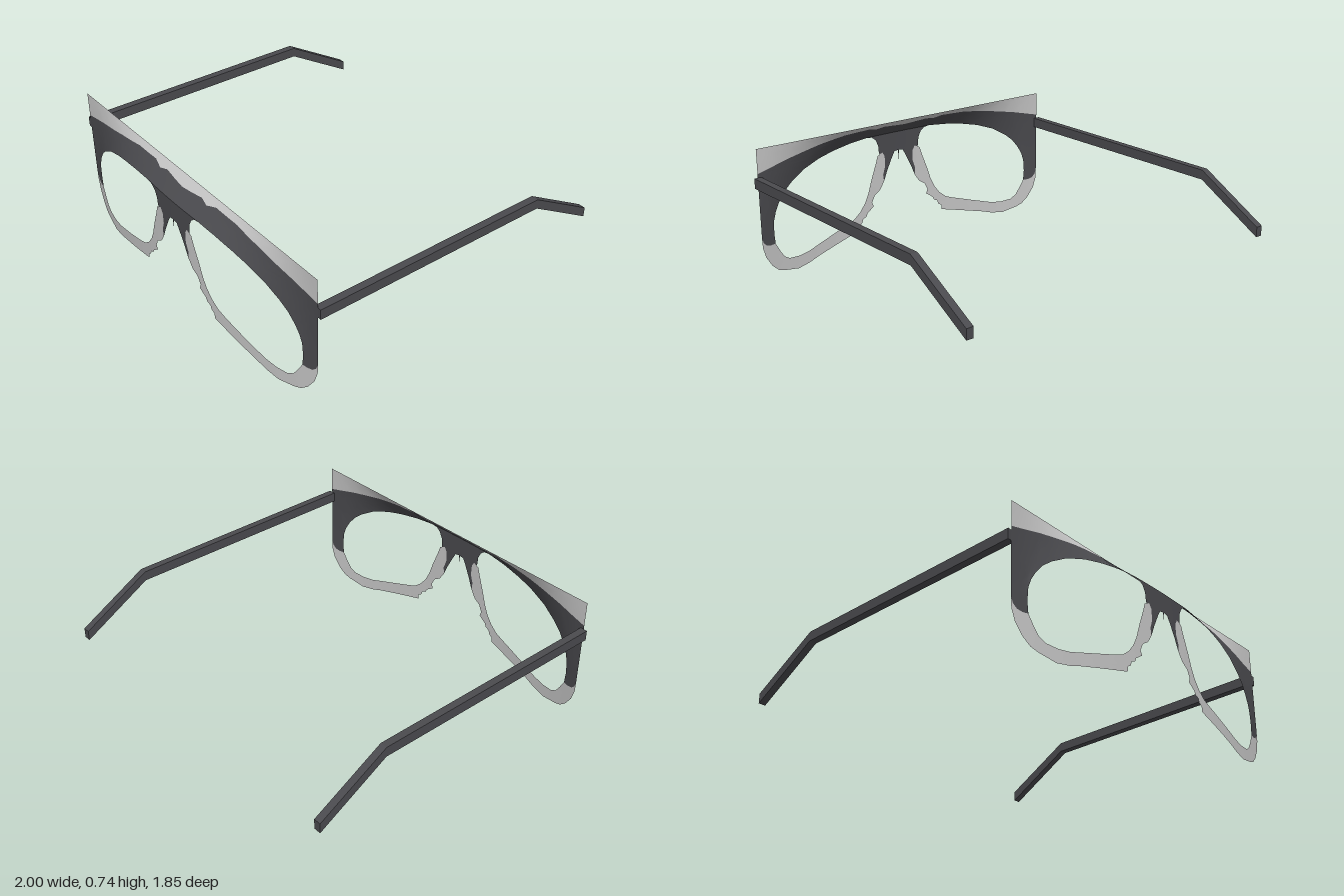
import * as THREE from 'three';
import { mergeVertices } from 'three/addons/utils/BufferGeometryUtils.js';

const TOP = 0.735, BACK = 0.815;

// Upper edge of a lens opening, from the bridge outwards
const lensTop = [[0, 0.64], [0.22, 0.64], [0.34, 0.63], [0.46, 0.612], [0.56, 0.59], [0.67, 0.552],
  [0.76, 0.50], [0.81, 0.46], [0.85, 0.41], [0.875, 0.365], [0.89, 0.32], [0.895, 0.25], [0.89, 0.19]];
// Line where the dark brow meets the clear crown
const browTop = [[0, 0.695], [0.07, 0.70], [0.15, 0.707], [0.2, 0.697], [0.26, 0.71], [0.42, 0.705],
  [0.58, 0.683], [0.8, 0.642], [0.98, 0.60]];

function heightAt(curve, x) {
  for (let i = 1; i < curve.length; i++) {
    const [x0, y0] = curve[i - 1], [x1, y1] = curve[i];
    if (x <= x1) return y0 + (y1 - y0) * (x - x0) / (x1 - x0);
  }
  return 0.25;
}

// The front bows forward; above the lenses it leans back to a straight top edge
function depthAt(x, y) {
  const ax = Math.abs(x);
  const bow = 0.924 - 0.109 * (ax / 0.98) ** 2;
  const low = heightAt(lensTop, ax);
  const t = THREE.MathUtils.clamp((y - low) / (TOP - low), 0, 1);
  return bow + (BACK - bow) * t;
}

// Turns an outline into a finely divided sheet bent to the front's curve
function sheet(outline, side) {
  const pts = outline.map(([x, y]) => new THREE.Vector2(x * side, y));
  if (THREE.ShapeUtils.isClockWise(pts)) pts.reverse();
  const out = [];
  const split = (a, b, c) => {
    const edges = [[a, b, c], [b, c, a], [c, a, b]];
    edges.sort((e, f) => f[0].distanceTo(f[1]) - e[0].distanceTo(e[1]));
    const [p, q, r] = edges[0];
    if (p.distanceTo(q) > 0.07) {
      const m = p.clone().add(q).multiplyScalar(0.5);
      split(p, m, r);
      split(m, q, r);
    } else {
      for (const v of [a, b, c]) out.push(v.x, v.y, depthAt(v.x, v.y));
    }
  };
  for (const [i, j, k] of THREE.ShapeUtils.triangulateShape(pts, [])) {
    const a = pts[i], b = pts[j], c = pts[k];
    const area = (b.x - a.x) * (c.y - a.y) - (b.y - a.y) * (c.x - a.x);
    if (area > 0) split(a, b, c); else split(a, c, b);
  }
  const g = new THREE.BufferGeometry();
  g.setAttribute('position', new THREE.Float32BufferAttribute(out, 3));
  const merged = mergeVertices(g, 1e-5);
  merged.computeVertexNormals();
  return merged;
}

export function createModel() {
  const dark = new THREE.MeshStandardMaterial({ color: 0x4a4a4e, side: THREE.DoubleSide });
  dark.name = 'charcoal';
  const clear = new THREE.MeshStandardMaterial({ color: 0xc6c6c6, side: THREE.DoubleSide });
  clear.name = 'pale grey';

  const model = new THREE.Group();
  model.name = 'glasses';
  const add = (name, geometry, material) => {
    const mesh = new THREE.Mesh(geometry, material);
    mesh.name = name;
    model.add(mesh);
    return mesh;
  };

  // Outlines for one half of the front
  const crown = [...browTop, [0.98, TOP], [0, TOP]];
  const brow = [...browTop, [0.98, 0.245], [0.97, 0.215], [0.95, 0.195], [0.92, 0.188],
    ...[...lensTop].reverse()];
  const bridge = [[0, 0.64], [0.22, 0.64], [0.185, 0.635], [0.16, 0.615], [0.143, 0.58], [0.14, 0.54],
    [0.135, 0.525], [0.115, 0.535], [0.1, 0.51], [0.098, 0.45], [0.115, 0.40], [0.11, 0.36],
    [0.085, 0.42], [0.05, 0.49], [0.03, 0.525], [0.004, 0.53], [0, 0.47]];
  const lowerRim = [
    // inner edge, from the bridge round the lens to the temple
    [0.115, 0.535], [0.135, 0.525], [0.15, 0.52], [0.165, 0.475], [0.2, 0.385], [0.225, 0.31],
    [0.25, 0.26], [0.285, 0.215], [0.33, 0.18], [0.38, 0.162], [0.52, 0.12], [0.66, 0.08],
    [0.73, 0.072], [0.80, 0.078], [0.835, 0.1], [0.862, 0.14], [0.89, 0.19],
    // outer edge, back to the nose
    [0.92, 0.188], [0.95, 0.195], [0.97, 0.215], [0.98, 0.245], [0.978, 0.19], [0.96, 0.13],
    [0.92, 0.07], [0.88, 0.035], [0.84, 0.02], [0.74, 0], [0.66, 0.012], [0.6, 0.03],
    [0.3, 0.103], [0.298, 0.13], [0.275, 0.145], [0.27, 0.165], [0.245, 0.175], [0.235, 0.195],
    [0.19, 0.225], [0.2, 0.25], [0.18, 0.29], [0.14, 0.315], [0.11, 0.36], [0.115, 0.40],
    [0.098, 0.45], [0.1, 0.51]];

  // Temple arm profile, extruded across its width
  const profile = new THREE.Shape([[-0.815, 0.58], [0.54, 0.55], [0.925, 0.325], [0.925, 0.27],
    [0.54, 0.497], [-0.815, 0.525]].map(([z, y]) => new THREE.Vector2(z, y)));
  const armGeometry = new THREE.ExtrudeGeometry(profile, { depth: 0.04, bevelEnabled: false });
  armGeometry.rotateY(Math.PI / 2);

  for (const [label, side] of [['left', 1], ['right', -1]]) {
    add(label + 'Crown', sheet(crown, side), clear);
    add(label + 'Brow', sheet(brow, side), dark);
    add(label + 'Bridge', sheet(bridge, side), dark);
    add(label + 'LowerRim', sheet(lowerRim, side), clear);
    add(label + 'Arm', armGeometry, dark).position.x = side > 0 ? 0.96 : -1;
  }
  return model;
}
